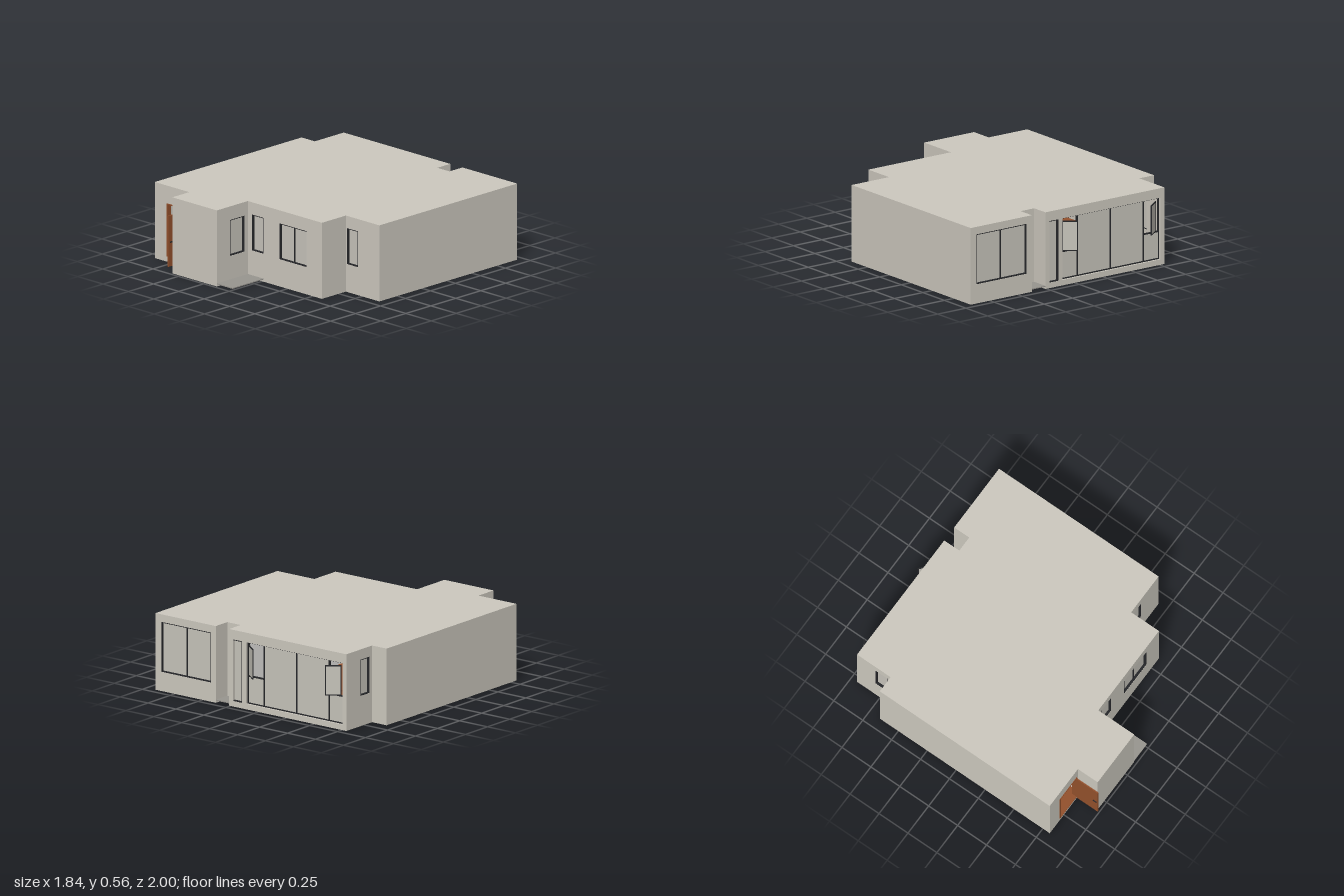
import * as THREE from 'three';

const mat = (name, color) => Object.assign(new THREE.MeshStandardMaterial({ color }), { name });

const H = 0.56, BASE = 0.035, ROOF = 0.535, T = 0.035;

// Plan outline (x, z), walked so that outside is on the viewer's side
const PLAN = [
  [-0.92, 0.81], [-0.58, 0.81], [-0.58, 0.98], [-0.14, 0.98], [-0.14, 0.67], [0.59, 0.67],
  [0.59, 0.43], [0.92, 0.43], [0.92, -0.95], [0.38, -0.95], [0.38, -0.82], [0.26, -0.82],
  [0.26, -0.95], [-0.79, -0.95], [-0.79, -0.66], [-0.92, -0.66],
];

// Openings per wall: u0, u1, y0, y1, kind, panes
const OPENINGS = {
  0: [[0.12, 0.325, 0.04, 0.43, 'door']],
  3: [[0.13, 0.28, 0.195, 0.46, 'window', 1]],
  4: [[0.04, 0.155, 0.205, 0.47, 'window', 1], [0.31, 0.58, 0.2, 0.465, 'window', 2]],
  6: [[0.01, 0.12, 0.205, 0.47, 'window', 1]],
  8: [[0.05, 0.495, 0.14, 0.505, 'window', 2]],
  12: [[0.027, 0.115, 0.04, 0.49, 'window', 1], [0.15, 1.02, 0.04, 0.49, 'terrace']],
  13: [[0.16, 0.265, 0.22, 0.485, 'window', 1]],
};

export function createModel() {
  const M = {
    wall: mat('plaster', 0xccc8be),
    frame: mat('dark frame', 0x26272a),
    glass: mat('pane', 0xc6c3ba),
    step: mat('step stone', 0x98958f),
    wood: mat('brown wood', 0x93502c),
    white: mat('white', 0xf0efec),
    grey: mat('grey fabric', 0x8a8c8e),
  };
  const house = new THREE.Group();
  house.name = 'house';

  // Box given by its two opposite corners
  const box = (parent, name, m, x0, x1, y0, y1, z0, z1) => {
    const mesh = new THREE.Mesh(new THREE.BoxGeometry(x1 - x0, y1 - y0, z1 - z0), m);
    mesh.position.set((x0 + x1) / 2, (y0 + y1) / 2, (z0 + z1) / 2);
    mesh.name = name;
    parent.add(mesh);
    return mesh;
  };

  // Rectangular ring of four bars
  const ring = (parent, name, m, u0, u1, y0, y1, z0, z1, w) => {
    box(parent, name, m, u0, u0 + w, y0, y1, z0, z1);
    box(parent, name, m, u1 - w, u1, y0, y1, z0, z1);
    box(parent, name, m, u0 + w, u1 - w, y0, y0 + w, z0, z1);
    box(parent, name, m, u0 + w, u1 - w, y1 - w, y1, z0, z1);
  };

  // Base and roof slabs
  const slab = (name, y0, y1) => {
    const shape = new THREE.Shape(PLAN.map(([x, z]) => new THREE.Vector2(x, -z)));
    const geo = new THREE.ExtrudeGeometry(shape, { depth: y1 - y0, bevelEnabled: false });
    geo.rotateX(-Math.PI / 2).translate(0, y0, 0);
    const mesh = new THREE.Mesh(geo, M.wall);
    mesh.name = name;
    house.add(mesh);
  };
  slab('baseSlab', 0, BASE);
  slab('roofSlab', ROOF, H);

  // Recessed window with evenly spaced mullions
  const buildWindow = (g, u0, u1, y0, y1, panes) => {
    ring(g, 'windowFrame', M.frame, u0, u1, y0, y1, -0.03, -0.002, 0.006);
    box(g, 'windowPane', M.glass, u0, u1, y0, y1, -0.026, -0.02);
    for (let i = 1; i < panes; i++) {
      const u = u0 + ((u1 - u0) * i) / panes;
      box(g, 'mullion', M.frame, u - 0.004, u + 0.004, y0, y1, -0.03, -0.012);
    }
  };

  // Front door: frame and leaf swung open outwards
  const buildDoor = (g, u0, u1, y0, y1) => {
    ring(g, 'doorFrame', M.wood, u0, u1, y0, y1, -T, 0.004, 0.008);
    box(g, 'doorLeaf', M.wood, u1 - 0.012, u1 - 0.003, y0 + 0.008, y1 - 0.008, 0, 0.19);
    for (const s of [-0.017, 0.002]) {
      box(g, 'doorHandle', M.frame, u1 + s, u1 + s + 0.005, 0.225, 0.233, 0.15, 0.18);
    }
  };

  // Wide terrace glazing with two open casements
  const buildTerrace = (g, u0, u1, y0, y1) => {
    const splits = [u0, 0.296, 0.59, 0.88, u1], mid = 0.24;
    ring(g, 'terraceFrame', M.frame, u0, u1, y0, y1, -T, -0.015, 0.007);
    splits.slice(1, -1).forEach((u) => box(g, 'mullion', M.frame, u - 0.004, u + 0.004, y0, y1, -T, -0.018));
    for (let i = 0; i < 4; i++) {
      const side = i === 0 || i === 3;
      box(g, 'terracePane', M.glass, splits[i], splits[i + 1], y0, side ? mid : y1, -0.03, -0.024);
      if (side) box(g, 'transom', M.frame, splits[i], splits[i + 1], mid - 0.004, mid + 0.004, -T, -0.018);
    }
    for (const [u, s] of [[u0 + 0.012, 1], [u1 - 0.032, -1]]) {
      const leaf = new THREE.Group();
      leaf.name = 'openCasement';
      ring(leaf, 'casementFrame', M.frame, 0, 0.114, mid + 0.005, 0.465, -0.004, 0.004, 0.007);
      box(leaf, 'casementPane', M.glass, 0.004, 0.11, mid + 0.009, 0.461, -0.003, 0.003);
      leaf.position.set(u, 0, -0.022);
      leaf.rotation.y = s > 0 ? -0.66 : Math.PI + 0.66;
      g.add(leaf);
    }
  };

  // Outer walls with cut openings
  PLAN.forEach(([ax, az], i) => {
    const [bx, bz] = PLAN[(i + 1) % PLAN.length];
    const len = Math.hypot(bx - ax, bz - az);
    const rect = (P, u0, u1, y0, y1) => {
      const p = new P();
      p.moveTo(u0, y0).lineTo(u1, y0).lineTo(u1, y1).lineTo(u0, y1).closePath();
      return p;
    };
    const g = new THREE.Group();
    g.name = 'wallSection';
    g.position.set(ax, 0, az);
    g.rotation.y = Math.atan2(az - bz, bx - ax);
    const shape = rect(THREE.Shape, 0, len, BASE, ROOF);
    const list = OPENINGS[i] || [];
    shape.holes = list.map(([u0, u1, y0, y1]) => rect(THREE.Path, u0, u1, y0, y1));
    const geo = new THREE.ExtrudeGeometry(shape, { depth: T, bevelEnabled: false });
    const wall = new THREE.Mesh(geo.translate(0, 0, -T), M.wall);
    wall.name = 'wall';
    g.add(wall);
    for (const [u0, u1, y0, y1, kind, panes] of list) {
      if (kind === 'door') buildDoor(g, u0, u1, y0, y1);
      else if (kind === 'terrace') buildTerrace(g, u0, u1, y0, y1);
      else buildWindow(g, u0, u1, y0, y1, panes);
    }
    house.add(g);
  });

  // Thin outdoor steps
  box(house, 'frontStep', M.step, -0.14, 0.015, 0.016, 0.023, 0.67, 0.98);
  box(house, 'backStep', M.step, 0.26, 0.38, 0.016, 0.023, -0.95, -0.82);

  // Wooden floor
  box(house, 'floor', M.wood, -0.89, 0.89, BASE - 0.002, 0.039, -0.63, 0.4);
  box(house, 'floor', M.wood, -0.76, 0.23, BASE - 0.002, 0.039, -0.92, -0.63);
  box(house, 'floor', M.wood, -0.89, -0.17, BASE - 0.002, 0.039, 0.4, 0.78);

  // Inner partitions
  box(house, 'partition', M.white, -0.89, -0.75, 0.039, ROOF, -0.56, -0.54);
  box(house, 'partition', M.white, -0.56, -0.54, 0.039, ROOF, 0.1, 0.78);
  box(house, 'partition', M.white, 0.23, 0.25, 0.039, ROOF, -0.8, 0.4);

  // Dining table, chairs and pendant lamp
  box(house, 'tableTop', M.wood, -0.66, -0.36, 0.155, 0.165, -0.6, -0.4);
  for (const x of [-0.65, -0.38]) for (const z of [-0.59, -0.42]) {
    box(house, 'tableLeg', M.wood, x, x + 0.012, 0.039, 0.155, z, z + 0.012);
  }
  for (const z of [-0.36, -0.72]) {
    box(house, 'chairSeat', M.frame, -0.7, -0.62, 0.1, 0.115, z, z + 0.08);
    box(house, 'chairBack', M.frame, -0.7, -0.69, 0.115, 0.22, z, z + 0.08);
    for (const x of [-0.7, -0.63]) for (const d of [0, 0.07]) {
      box(house, 'chairLeg', M.frame, x, x + 0.008, 0.039, 0.1, z + d, z + d + 0.008);
    }
  }
  const lamp = new THREE.Mesh(new THREE.SphereGeometry(0.038, 20, 12), M.wood);
  lamp.name = 'lampShade';
  lamp.scale.y = 0.5;
  lamp.position.set(-0.675, 0.34, -0.3);
  house.add(lamp);
  box(house, 'lampCord', M.frame, -0.677, -0.673, 0.355, ROOF, -0.302, -0.298);

  // Sideboard and sofa
  box(house, 'sideboard', M.wood, -0.65, -0.57, 0.039, 0.21, 0.12, 0.3);
  box(house, 'sofaSeat', M.grey, -0.2, 0.1, 0.039, 0.11, -0.5, -0.38);
  box(house, 'sofaBack', M.grey, -0.2, 0.1, 0.11, 0.2, -0.41, -0.38);

  return house;
}
